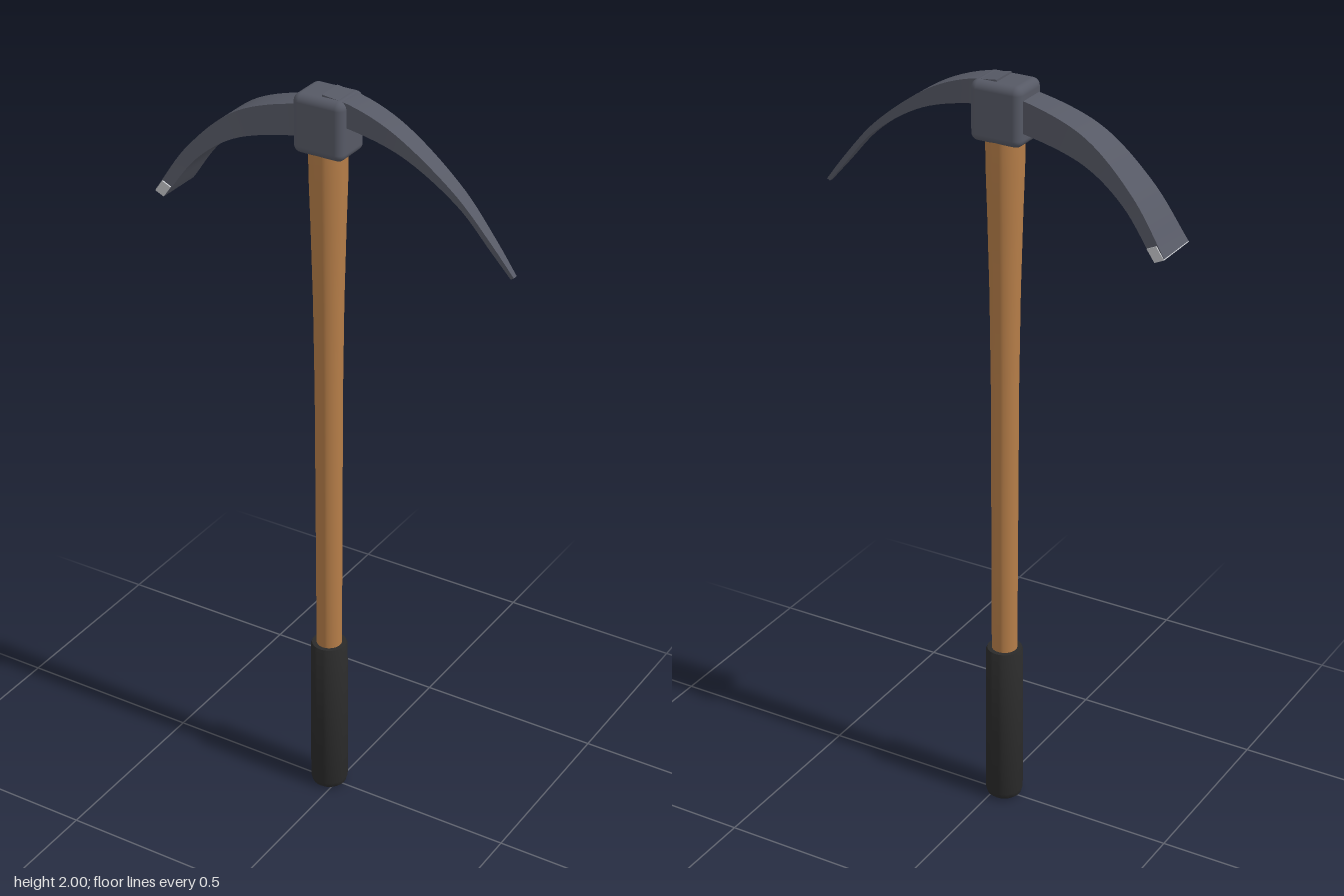
import * as THREE from 'three';
import { toCreasedNormals } from 'three/addons/utils/BufferGeometryUtils.js';
import { RoundedBoxGeometry } from 'three/addons/geometries/RoundedBoxGeometry.js';

const AXIS_X = -0.024; // the handle sits slightly off centre

const material = (name, color) => {
  const m = new THREE.MeshStandardMaterial({ color });
  m.name = name;
  return m;
};

const curve = (pts) => new THREE.CatmullRomCurve3(pts.map(([x, y]) => new THREE.Vector3(x, y, 0)));

// Sweeps a rectangular section between an upper and a lower edge; both edges run towards +x.
function bladeGeometry(top, bottom, halfWidth, steps) {
  const upper = curve(top), lower = curve(bottom);
  const pos = [], idx = [];
  for (let i = 0; i <= steps; i++) {
    const t = i / steps, w = halfWidth(t);
    const a = upper.getPointAt(t), b = lower.getPointAt(t);
    pos.push(a.x, a.y, w, a.x, a.y, -w, b.x, b.y, -w, b.x, b.y, w);
  }
  for (let i = 0; i < steps; i++) {
    for (let k = 0; k < 4; k++) {
      const p = i * 4 + k, q = i * 4 + (k + 1) % 4;
      idx.push(p, p + 4, q + 4, p, q + 4, q);
    }
  }
  const e = steps * 4;
  idx.push(0, 1, 2, 0, 2, 3, e, e + 2, e + 1, e, e + 3, e + 2);
  const g = new THREE.BufferGeometry();
  g.setAttribute('position', new THREE.Float32BufferAttribute(pos, 3));
  g.setIndex(idx);
  return toCreasedNormals(g, 0.5);
}

// Turned part from [radius, height] pairs
function turned(profile) {
  const g = new THREE.LatheGeometry(profile.map(([r, y]) => new THREE.Vector2(r, y)), 32);
  return toCreasedNormals(g, 0.6);
}

export function createModel() {
  const group = new THREE.Group();
  group.name = 'pickaxe';
  const steel = material('dark steel', 0x565965);
  const bright = material('bright ground steel', 0xc4c6ca);
  const wood = material('wood', 0xb57d48);
  const rubber = material('black rubber', 0x2a2a2a);

  const add = (name, geometry, mat, x = 0, y = 0) => {
    const mesh = new THREE.Mesh(geometry, mat);
    mesh.name = name;
    mesh.position.set(x, y, 0);
    group.add(mesh);
  };

  // Handle: slim shaft swelling towards the head
  add('handle', turned([
    [0, 0.4], [0.033, 0.4], [0.034, 0.8], [0.035, 1.2], [0.038, 1.45],
    [0.043, 1.65], [0.047, 1.78], [0.048, 1.88], [0, 1.88],
  ]), wood, AXIS_X);

  // Grip sleeve with softened ends
  add('grip', turned([
    [0, 0], [0.038, 0], [0.045, 0.006], [0.049, 0.02], [0.049, 0.2],
    [0.048, 0.443], [0.045, 0.45], [0, 0.45],
  ]), rubber, AXIS_X);

  // Head socket
  add('headSocket', new RoundedBoxGeometry(0.138, 0.15, 0.11, 4, 0.02), steel, AXIS_X, 1.92);

  // Pointed pick arm
  add('pickArm', bladeGeometry(
    [[-0.02, 2], [0.06, 1.988], [0.167, 1.945], [0.325, 1.828], [0.42, 1.722], [0.478, 1.648]],
    [[-0.02, 1.935], [0.06, 1.928], [0.193, 1.89], [0.336, 1.796], [0.42, 1.701], [0.47, 1.643]],
    (t) => 0.007 + 0.027 * (1 - t ** 1.5), 28), steel);

  // Broad adze arm, flaring to its cutting end
  add('adzeArm', bladeGeometry(
    [[-0.479, 1.66], [-0.389, 1.79], [-0.257, 1.907], [-0.093, 1.962], [-0.03, 1.966]],
    [[-0.452, 1.648], [-0.362, 1.765], [-0.257, 1.839], [-0.093, 1.882], [-0.03, 1.888]],
    (t) => 0.036 + 0.026 * (1 - t) ** 1.3, 28), steel);

  // Ground cutting edge let into the end of the adze
  add('adzeEdge', bladeGeometry(
    [[-0.479, 1.657], [-0.458, 1.687]],
    [[-0.455, 1.646], [-0.434, 1.676]],
    () => 0.064, 1), bright);

  return group;
}
